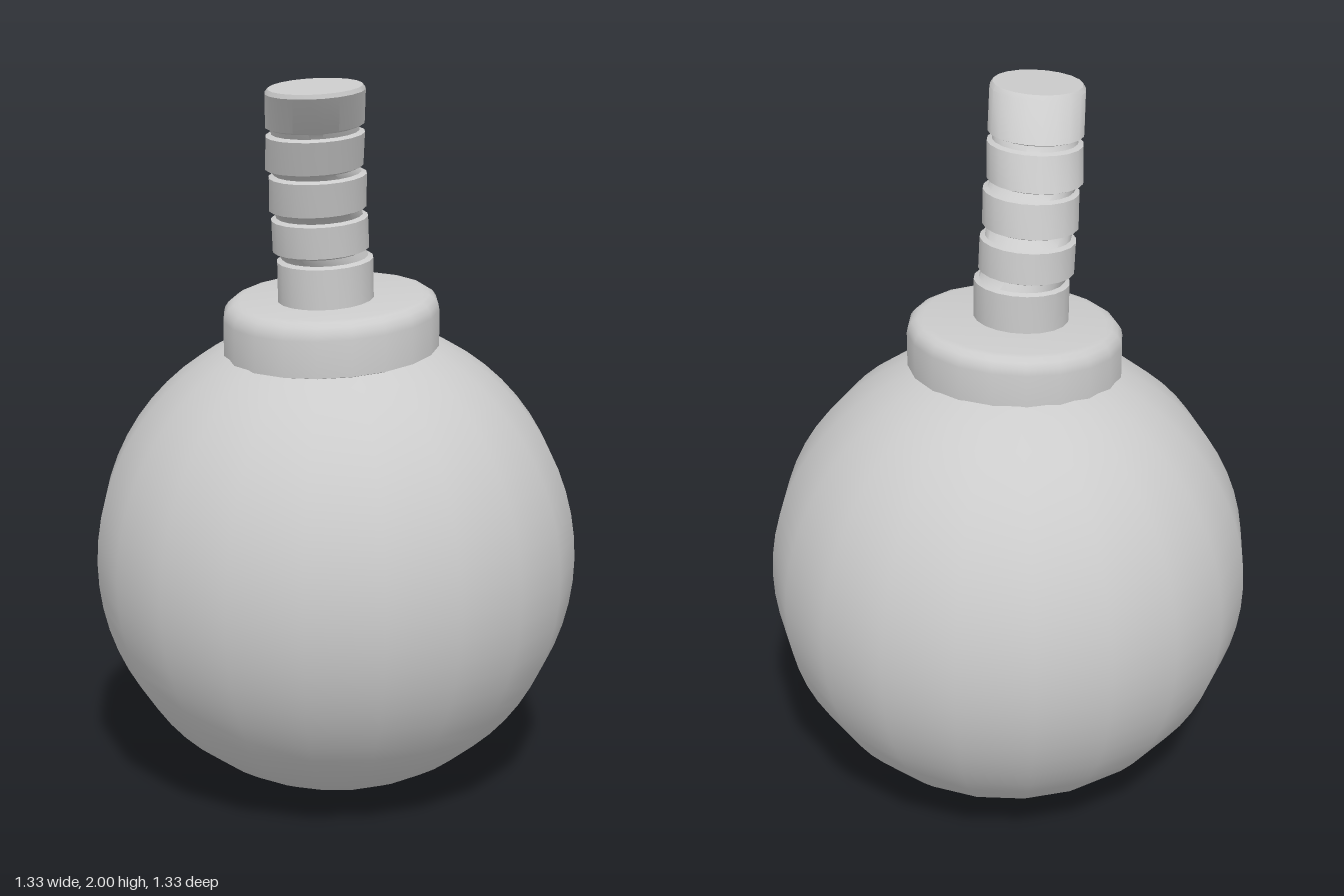
import * as THREE from 'three';
import { toCreasedNormals } from 'three/addons/utils/BufferGeometryUtils.js';

const SIDES = 20;
const material = new THREE.MeshStandardMaterial({ color: 0xcccccc });

// Skins a stack of parallel, slightly tilted circles; each ring is [x, y, z, radius].
function loft(rings) {
  const positions = [];
  const point = ([x, y, z, r], j) => {
    const a = (j / SIDES) * Math.PI * 2;
    const dx = Math.cos(a) * r, dz = Math.sin(a) * r;
    return [x + dx, y + 0.06 * dx - 0.055 * dz, z + dz];
  };
  for (let i = 0; i < rings.length - 1; i++) {
    for (let j = 0; j < SIDES; j++) {
      const a = point(rings[i], j), b = point(rings[i], j + 1);
      const c = point(rings[i + 1], j + 1), d = point(rings[i + 1], j);
      if (rings[i + 1][3] > 0) positions.push(...a, ...d, ...c);
      else positions.push(...a, ...c, ...b);
      if (rings[i + 1][3] > 0 && rings[i][3] > 0) positions.push(...a, ...c, ...b);
    }
  }
  const geometry = new THREE.BufferGeometry();
  geometry.setAttribute('position', new THREE.Float32BufferAttribute(positions, 3));
  return toCreasedNormals(geometry, 0.6);
}

function addPart(group, name, geometry) {
  const mesh = new THREE.Mesh(geometry, material);
  mesh.name = name;
  group.add(mesh);
  return mesh;
}

export function createModel() {
  const group = new THREE.Group();

  // Round body
  addPart(group, 'body', new THREE.SphereGeometry(0.667, SIDES, 32)).position.y = 0.667;

  // Tilted collar with a rounded top edge
  const cx = -0.022, cz = 0.05, radius = 0.294, bevel = 0.045, top = 1.405;
  const collar = [[cx, 1.15, cz, 0], [cx, 1.262, cz, radius]];
  for (let i = 0; i <= 4; i++) {
    const a = (i / 4) * Math.PI / 2;
    collar.push([cx, top - bevel + Math.sin(a) * bevel, cz, radius - bevel + Math.cos(a) * bevel]);
  }
  collar.push([cx, top, cz, 0]);
  addPart(group, 'collar', loft(collar));

  // Bent fuse: band ends as [x, y, z], lower and upper
  const bands = [
    [[-0.04, 1.38, 0.07], [-0.042, 1.51, 0.07]],
    [[-0.055, 1.54, 0.077], [-0.06, 1.625, 0.086]],
    [[-0.069, 1.655, 0.108], [-0.073, 1.745, 0.13]],
    [[-0.085, 1.77, 0.143], [-0.089, 1.86, 0.182]],
    [[-0.092, 1.885, 0.191], [-0.105, 1.98, 0.268]],
  ];
  const fuse = [];
  bands.forEach(([low, high], i) => {
    // Groove below each band
    if (i > 0) fuse.push([low[0], low[1] - 0.006, low[2], 0.116]);
    fuse.push([...low, 0.13], [...high, 0.13]);
    if (i < bands.length - 1) fuse.push([high[0], high[1] + 0.006, high[2], 0.116]);
  });
  // Softened rim and flat end
  fuse.push([-0.106, 1.991, 0.274, 0.122], [-0.106, 1.991, 0.274, 0]);
  addPart(group, 'fuse', loft(fuse));

  return group;
}
